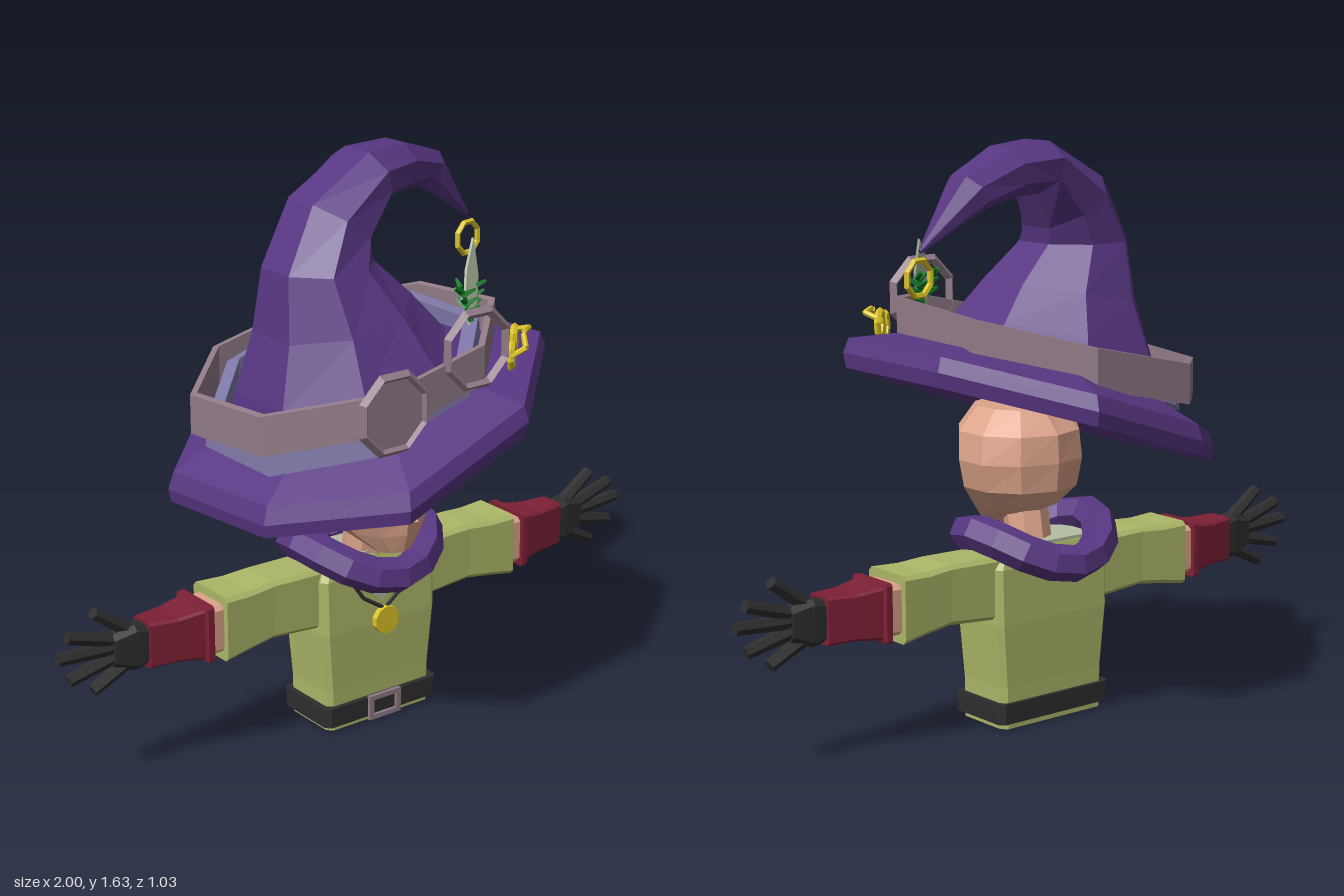
import * as THREE from 'three';

const mat = (name, color, side = THREE.FrontSide) => new THREE.MeshStandardMaterial({ name, color, side });
const V = (x, y, z) => new THREE.Vector3(x, y, z);
const X = V(1, 0, 0), Y = V(0, 1, 0), Z = V(0, 0, 1);

// Skin a list of equal-sized rings with flat facets, optionally capping both ends
function loft(rings, capStart = true, capEnd = true) {
  const pos = [], n = rings[0].length;
  const tri = (...pts) => pts.forEach(p => pos.push(p.x, p.y, p.z));
  const middle = r => r.reduce((s, p) => s.add(p), V(0, 0, 0)).divideScalar(n);
  for (let k = 0; k < rings.length - 1; k++) {
    const a = rings[k], b = rings[k + 1];
    for (let i = 0; i < n; i++) {
      const j = (i + 1) % n;
      tri(a[i], a[j], b[j]);
      tri(a[i], b[j], b[i]);
    }
  }
  const first = rings[0], last = rings[rings.length - 1];
  for (let i = 0; i < n; i++) {
    const j = (i + 1) % n;
    if (capStart) tri(middle(first), first[j], first[i]);
    if (capEnd) tri(middle(last), last[i], last[j]);
  }
  const g = new THREE.BufferGeometry();
  g.setAttribute('position', new THREE.Float32BufferAttribute(pos, 3));
  g.computeVertexNormals();
  return g;
}

const flat = g => {
  const f = g.index ? g.toNonIndexed() : g;
  f.computeVertexNormals();
  return f;
};

// Ellipse ring and bevelled rectangle ring on axes u, v
const ellipse = (c, u, v, ru, rv, n = 8, off = 0) => Array.from({ length: n }, (_, i) => {
  const a = (i + off) / n * Math.PI * 2;
  return c.clone().addScaledVector(u, ru * Math.cos(a)).addScaledVector(v, rv * Math.sin(a));
});
const rect = (c, u, v, hu, hv, b) =>
  [[hu, -hv + b], [hu, hv - b], [hu - b, hv], [-hu + b, hv], [-hu, hv - b], [-hu, -hv + b], [-hu + b, -hv], [hu - b, -hv]]
    .map(([p, q]) => c.clone().addScaledVector(u, p).addScaledVector(v, q));

export function createModel() {
  const model = new THREE.Group();
  model.name = 'apprenticeBust';
  const purple = mat('purple felt', 0x583783), lavender = mat('lavender cloth', 0x7f78a8);
  const mauve = mat('mauve leather', 0x917b88), skin = mat('skin', 0xdea58b);
  const green = mat('green tunic', 0xadb768), maroon = mat('maroon cuff', 0x7e2036);
  const black = mat('black leather', 0x2e2e2e), gold = mat('gold', 0xdcc426);
  const sage = mat('pale sage', 0xb4c0a4, THREE.DoubleSide), leaf = mat('dark leaf', 0x0d7623);

  const add = (name, geometry, material, parent = model) => {
    const m = new THREE.Mesh(geometry, material);
    m.name = name;
    parent.add(m);
    return m;
  };
  const rod = (name, a, b, r0, r1, material, parent = model, sides = 6) => {
    const m = add(name, flat(new THREE.CylinderGeometry(r1, r0, a.distanceTo(b), sides)), material, parent);
    m.position.copy(a).lerp(b, 0.5);
    m.quaternion.setFromUnitVectors(Y, b.clone().sub(a).normalize());
  };

  // Tunic: height, half width, back z, front z
  const body = (rows, b) => loft(rows.map(([y, hx, z0, z1]) => rect(V(0, y, (z0 + z1) / 2), Z, X, (z1 - z0) / 2, hx, b)));
  add('tunic', body([[0, 0.183, -0.105, 0.085], [0.12, 0.185, -0.105, 0.085], [0.3, 0.2, -0.11, 0.09],
    [0.46, 0.2, -0.105, 0.085], [0.505, 0.18, -0.09, 0.07]], 0.016), green);
  add('belt', body([[0.018, 0.2, -0.117, 0.1], [0.076, 0.2, -0.117, 0.1]], 0.015), black);
  add('undershirtTop', body([[0.5, 0.16, -0.085, 0.065], [0.515, 0.16, -0.085, 0.065]], 0.02), sage);

  // Buckle frame with open middle
  const frame = new THREE.Shape([[-0.056, -0.037], [0.056, -0.037], [0.056, 0.037], [-0.056, 0.037]].map(p => new THREE.Vector2(...p)));
  frame.holes.push(new THREE.Path([[-0.041, -0.023], [-0.041, 0.023], [0.041, 0.023], [0.041, -0.023]].map(p => new THREE.Vector2(...p))));
  add('buckle', new THREE.ExtrudeGeometry(frame, { depth: 0.012, bevelEnabled: false }), mauve).position.set(0, 0.045, 0.098);

  // Neckline, cord and pendant
  const vee = new THREE.Shape([[-0.11, 0.47], [0, 0.365], [0.11, 0.47]].map(p => new THREE.Vector2(...p)));
  add('undershirtNeckline', new THREE.ShapeGeometry(vee), sage).position.z = 0.093;
  for (const s of [-1, 1]) {
    rod('pendantCord', V(s * 0.13, 0.48, 0.09), V(s * 0.07, 0.39, 0.097), 0.006, 0.006, black);
    rod('pendantCord', V(s * 0.07, 0.39, 0.097), V(0, 0.345, 0.104), 0.006, 0.006, black);
  }
  rod('pendant', V(0, 0.312, 0.1), V(0, 0.312, 0.118), 0.042, 0.042, gold, model, 10);

  // Draped collar, high over the shoulders
  const collar = Array.from({ length: 12 }, (_, i) => {
    const a = i / 12 * Math.PI * 2;
    return V(0.197 * Math.cos(a), 0.511 + 0.042 * Math.cos(2 * a), -0.013 + 0.183 * Math.sin(a));
  });
  add('collar', flat(new THREE.TubeGeometry(new THREE.CatmullRomCurve3(collar, true), 16, 0.052, 6, true)), purple);

  // Head: height, half width, back z, front z
  const head = [[0.545, 0.055, 0.08, 0.19], [0.6, 0.115, -0.055, 0.205], [0.66, 0.165, -0.115, 0.21],
    [0.74, 0.185, -0.125, 0.21], [0.82, 0.175, -0.12, 0.225], [0.885, 0.11, -0.06, 0.19]];
  add('head', loft(head.map(([y, hx, z0, z1]) => ellipse(V(0, y, (z0 + z1) / 2), Z, X, (z1 - z0) / 2, hx * 1.03, 10))), skin);
  add('nose', loft([[V(0, 0.63, 0.19), V(0.032, 0.645, 0.19), V(0, 0.74, 0.19), V(-0.032, 0.645, 0.19)],
    Array(4).fill(V(0, 0.655, 0.255))], false, false), skin);
  rod('neck', V(0, 0.46, 0), V(0, 0.63, 0.03), 0.065, 0.065, skin, model, 8);

  // Arms: x, centre height, half height, half depth
  const limb = (rows, b) => loft(rows.map(([x, y, hy, hz]) => rect(V(x, y, 0), Y, Z, hy, hz, b)));
  for (const side of ['left', 'right']) {
    const arm = new THREE.Group();
    arm.name = side + 'Arm';
    arm.position.z = -0.014;
    if (side === 'right') arm.rotation.y = Math.PI;
    model.add(arm);
    add('sleeve', limb([[0.17, 0.405, 0.09, 0.075], [0.35, 0.413, 0.085, 0.073], [0.43, 0.405, 0.087, 0.078], [0.513, 0.4, 0.095, 0.083]], 0.012), green, arm);
    add('wrist', limb([[0.49, 0.4, 0.07, 0.065], [0.57, 0.4, 0.07, 0.065]], 0.012), skin, arm);
    add('cuff', limb([[0.553, 0.4, 0.083, 0.079], [0.572, 0.4, 0.083, 0.079], [0.576, 0.4, 0.073, 0.068],
      [0.65, 0.4, 0.064, 0.056], [0.735, 0.4, 0.066, 0.042]], 0.007), maroon, arm);
    add('palm', limb([[0.725, 0.4, 0.055, 0.034], [0.77, 0.4, 0.066, 0.034], [0.835, 0.405, 0.047, 0.025]], 0.015), black, arm);
    [[0.76, 0.435, 0.885, 0.525], [0.8, 0.425, 0.967, 0.475], [0.81, 0.41, 0.998, 0.42], [0.8, 0.39, 0.967, 0.35], [0.76, 0.37, 0.895, 0.302]]
      .forEach(([x0, y0, x1, y1]) => rod('finger', V(x0, y0, 0), V(x1, y1, 0), 0.022, 0.018, black, arm));
  }

  // Hat brim: an uneven octagon on a tilted plane, scale and height per ring
  const outline = [[-0.235, 0.515], [0.2, 0.475], [0.49, 0.21], [0.47, -0.19], [0.2, -0.52], [-0.2, -0.49], [-0.515, -0.21], [-0.48, 0.2]];
  const brimRing = ([s, h]) => outline.map(([x, z]) => V(x * s, 0.9 + 0.33 * x * s + h, z * s));
  add('hatBrim', loft([[0.4, 0.17], [0.58, 0.085], [0.95, -0.025], [0.985, -0.04], [1, 0], [0.97, 0.045], [0.58, 0.12], [0.42, 0.18]].map(brimRing), true, false), purple);

  // Hat crown: centre, turn of the section, radius in the bend plane, radius in z
  const crown = [[-0.05, 0.985, -0.01, 0.31, 0.34, 0.335], [-0.075, 1.08, -0.015, 0.28, 0.292, 0.285], [-0.09, 1.21, -0.02, 0.18, 0.22, 0.22],
    [-0.13, 1.35, -0.03, 0, 0.15, 0.16], [-0.075, 1.46, -0.05, -0.6, 0.122, 0.142], [0.055, 1.565, -0.075, -1.35, 0.075, 0.135],
    [0.21, 1.56, -0.13, -1.6, 0.07, 0.11], [0.37, 1.52, -0.195, -2.2, 0.057, 0.08], [0.498, 1.37, -0.155, -2.3, 0.006, 0.006]];
  add('hatCrown', loft(crown.map(([x, y, z, t, r, rz]) =>
    ellipse(V(x, y, z), Z, V(Math.cos(t), Math.sin(t), 0), rz * 1.03, r * 1.03, 8, 0.5)), false, true), purple);

  // Bands around the crown, each a closed profile of radius and height
  const band = (name, profile, y, sx, sz, material) => add(name, loft([...profile, profile[0]].map(([r, h]) => {
    const ring = ellipse(V(-0.052, 0, -0.015), Z, X, r, r, 8, 0.5);
    ring.forEach(p => { p.y = y + h + sx * p.x + sz * p.z; });
    return ring;
  }), false, false), material);
  band('hatScarf', [[0.35, 0.098], [0.395, 0.085], [0.388, 0.165], [0.345, 0.175]], 0.9, 0.33, 0, lavender);
  band('goggleStrap', [[0.415, -0.056], [0.435, -0.056], [0.435, 0.056], [0.415, 0.056]], 1.063, 0.23, 0.08, mauve);

  // Goggles: one solid lens, one open rim
  const goggles = new THREE.Group();
  goggles.name = 'goggles';
  model.add(goggles);
  for (const [x, y] of [[-0.19, 1.045], [0.09, 1.17]]) {
    const rim = add('goggleRim', flat(new THREE.TorusGeometry(0.108, 0.015, 4, 8)), mauve, goggles);
    rim.position.set(x, y, 0.383);
    rim.rotation.z = Math.PI / 8;
  }
  rod('goggleLens', V(-0.19, 1.045, 0.37), V(-0.19, 1.045, 0.388), 0.105, 0.105, mauve, goggles, 8);

  // Little spectacles pinned to the strap
  const specs = new THREE.Group();
  specs.name = 'spectacles';
  specs.position.set(0.3, 1.112, 0.288);
  specs.rotation.set(0, Math.PI / 4, 0.2);
  model.add(specs);
  for (const s of [-1, 1]) {
    add('spectacleRim', flat(new THREE.TorusGeometry(0.036, 0.0105, 5, 8)), gold, specs).position.x = s * 0.046;
    rod('spectacleArm', V(s * 0.08, 0.012, 0), V(s * 0.06, 0.03, 0.04), 0.008, 0.008, gold, specs);
    rod('spectacleArm', V(s * 0.06, 0.03, 0.04), V(s * 0.01, 0.045, 0.03), 0.008, 0.008, gold, specs);
  }
  rod('spectacleBridge', V(-0.015, 0.012, 0), V(0.015, 0.012, 0), 0.008, 0.008, gold, specs);

  // Feather and leafy sprigs
  const feather = new THREE.Shape([[0, 0], [0.03, 0.07], [0.03, 0.15], [0, 0.25], [-0.026, 0.15], [-0.026, 0.07]].map(p => new THREE.Vector2(...p)));
  const plume = add('feather', new THREE.ExtrudeGeometry(feather, { depth: 0.008, bevelEnabled: false }), sage);
  plume.position.set(0.24, 1.155, 0.165);
  plume.quaternion.setFromUnitVectors(Y, V(0.08, 0.2, -0.085).normalize());
  plume.rotateY(0.25);
  for (const [x, y, z, lean] of [[0.24, 1.17, 0.18, -0.025], [0.275, 1.17, 0.13, 0.035]]) {
    const base = V(x, y, z), tip = V(x + lean, y + 0.1, z - 0.02);
    rod('sprigStem', base, tip, 0.008, 0.004, leaf);
    for (let i = 0; i < 9; i++) {
      const p = base.clone().lerp(tip, 0.2 + i * 0.09), a = i * 2.2;
      rod('sprigLeaf', p, p.clone().add(V(0.036 * Math.cos(a), 0.018, 0.036 * Math.sin(a))), 0.011, 0.005, leaf, model, 4);
    }
  }

  // Ring hanging from the hat tip
  const charm = add('tipRing', flat(new THREE.TorusGeometry(0.049, 0.009, 5, 8)), gold);
  charm.position.set(0.495, 1.3, -0.145);
  charm.rotation.set(0, 0.2, Math.PI / 8);

  return model;
}
